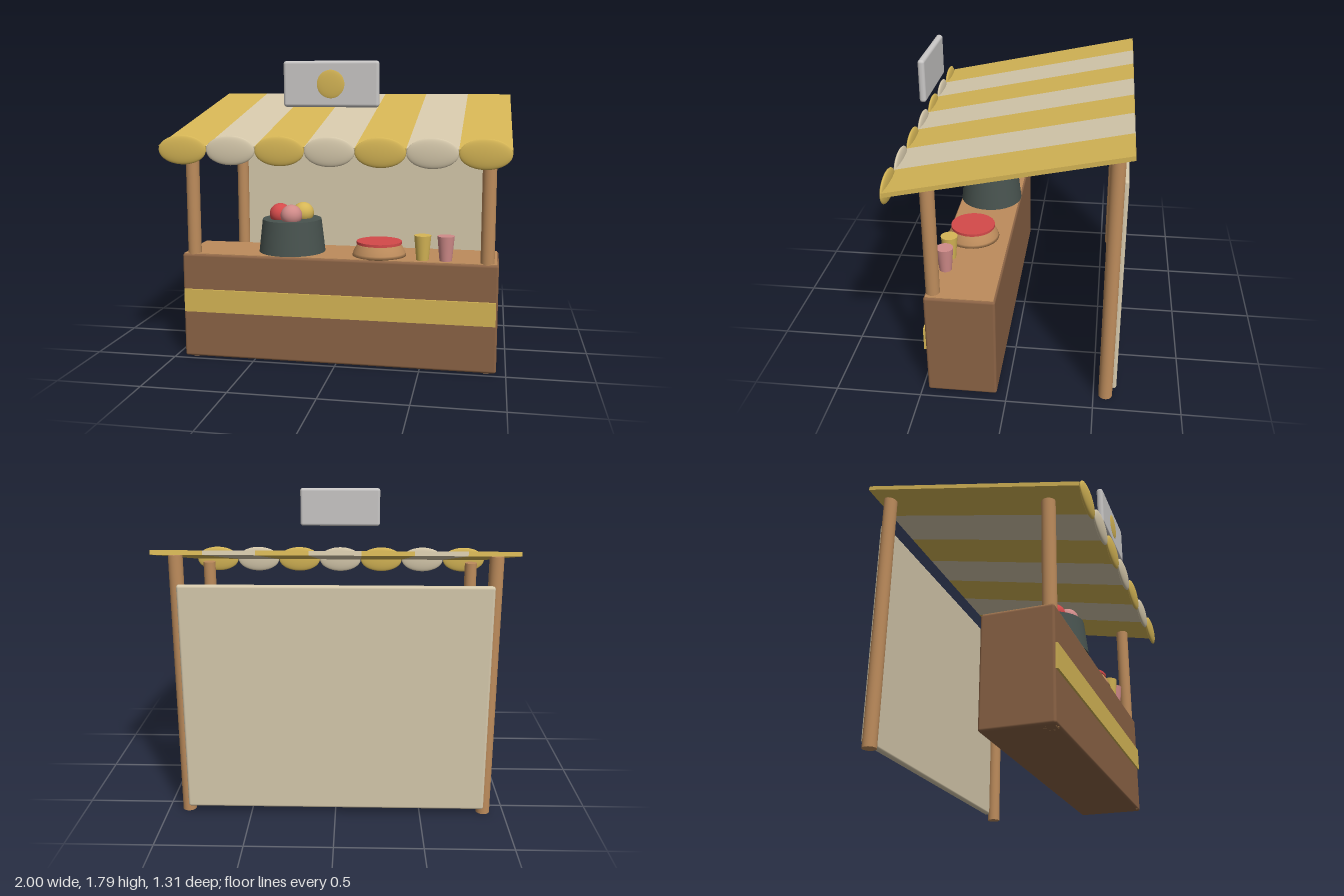
import * as THREE from 'three';
import { RoundedBoxGeometry } from 'three/addons/geometries/RoundedBoxGeometry.js';

const mat = (name, color) => {
  const m = new THREE.MeshStandardMaterial({ color });
  m.name = name;
  return m;
};

export function createModel() {
  const gold = mat('gold', 0xd6b656);
  const cream = mat('cream', 0xd6c9ac);
  const brown = mat('dark wood', 0x8b6345);
  const wood = mat('light wood', 0xbd8c5c);
  const silver = mat('silver', 0xc9c7c6);
  const iron = mat('iron', 0x48534f);
  const red = mat('red', 0xd44a4a);
  const pink = mat('pink', 0xd08b89);

  const model = new THREE.Group();
  model.name = 'marketStall';
  const add = (name, geometry, material, x, y, z, parent = model) => {
    const mesh = new THREE.Mesh(geometry, material);
    mesh.name = name;
    mesh.position.set(x, y, z);
    parent.add(mesh);
    return mesh;
  };
  const rounded = (w, h, d, r) => new RoundedBoxGeometry(w, h, d, 3, r);
  const cyl = (top, bottom, h) => new THREE.CylinderGeometry(top, bottom, h, 32);

  // Counter with a pale top and a painted band
  add('counter', rounded(1.89, 0.642, 0.405, 0.015), brown, 0, 0.321, 0.2625);
  add('counterTop', new THREE.BoxGeometry(1.87, 0.004, 0.385), wood, 0, 0.643, 0.2625);
  add('counterBand', new THREE.BoxGeometry(1.87, 0.14, 0.02), gold, 0, 0.355, 0.467);

  // Posts
  for (const side of [-1, 1]) {
    add('frontPost', cyl(0.04, 0.04, 1.31), wood, side * 0.88, 0.655, 0.42);
    add('backPost', cyl(0.04, 0.04, 1.55), wood, side * 0.88, 0.775, -0.57);
  }

  // Back panel
  add('backPanel', rounded(1.75, 1.35, 0.04, 0.015), cream, 0, 0.715, -0.612);

  // Sloping striped awning with a scalloped front edge
  const awning = new THREE.Group();
  awning.name = 'awning';
  awning.position.set(0, 1.438, -0.011);
  awning.rotation.x = 0.212;
  model.add(awning);
  const stripe = 2 / 7;
  for (let i = 0; i < 7; i++) {
    const x = (i - 3) * stripe;
    const colour = i % 2 ? cream : gold;
    add('awningStripe', new THREE.BoxGeometry(stripe, 0.025, 1.31), colour, x, 0, 0, awning);
    const scallop = add('scallop', new THREE.SphereGeometry(1, 32, 20), colour, x, 1.288, 0.635);
    scallop.scale.set(stripe / 2, 0.084, 0.018);
  }

  // Hanging sign with a round medallion
  add('sign', rounded(0.54, 0.255, 0.04, 0.018), silver, 0, 1.66, 0.565);
  const medallion = add('medallion', new THREE.SphereGeometry(1, 32, 20), gold, 0, 1.66, 0.582);
  medallion.scale.set(0.082, 0.082, 0.01);

  // Pot with three scoops
  add('pot', cyl(0.18, 0.203, 0.2), iron, -0.308, 0.745, 0.262);
  for (const [x, z, colour] of [[-0.375, 0.29, red], [-0.292, 0.345, pink], [-0.247, 0.222, gold]]) {
    add('scoop', new THREE.SphereGeometry(0.065, 28, 18), colour, x, 0.876, z);
  }

  // Bowl with a red filling
  const bowl = [[0, 0], [0.163, 0], [0.157, 0.02], [0.145, 0.045], [0.133, 0.065], [0.128, 0.073], [0, 0.073]]
    .map(([r, y]) => new THREE.Vector2(r, y));
  add('bowl', new THREE.LatheGeometry(bowl, 36), wood, 0.237, 0.643, 0.298);
  add('bowlFilling', cyl(0.136, 0.136, 0.016), red, 0.237, 0.722, 0.298);

  // Tapered cups
  for (const [x, colour] of [[0.505, gold], [0.64, pink]]) {
    add('cup', cyl(0.05, 0.036, 0.148), colour, x, 0.717, 0.395);
  }

  return model;
}
